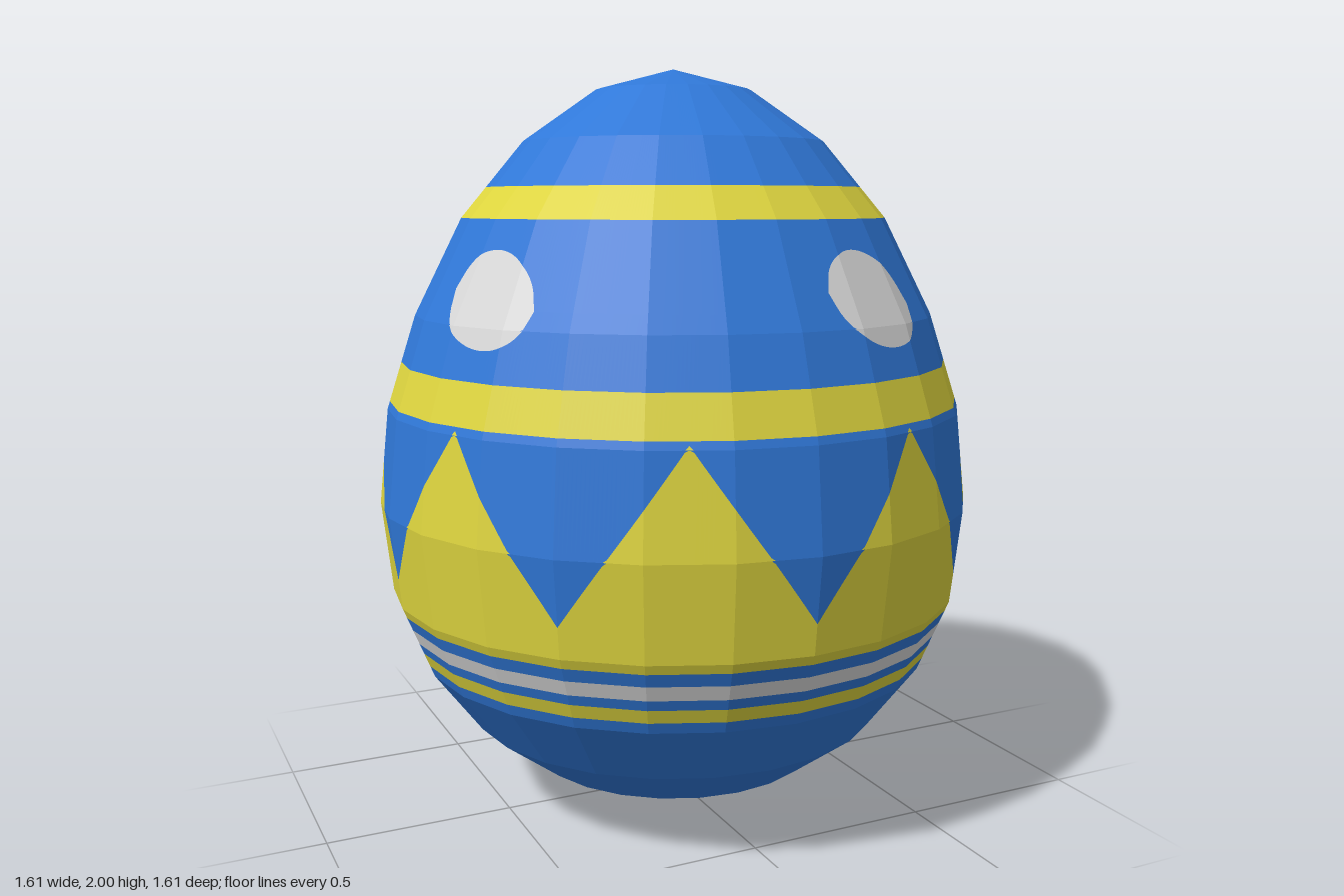
import * as THREE from 'three';

const SIDES = 24;   // flat facets around the egg
const COLS = 20;    // columns per facet, so the painted edges stay crisp
const STEP = 360 / SIDES / COLS;

// Egg profile, bottom to top: [radius, height]
const PROFILE = [
  [0, 0], [0.208, 0.03], [0.403, 0.113], [0.57, 0.24], [0.698, 0.41], [0.778, 0.605], [0.805, 0.85],
  [0.778, 1.105], [0.698, 1.355], [0.57, 1.61], [0.403, 1.81], [0.208, 1.945], [0, 2],
];

// Point on the faceted surface; ring = profile segment, col = column number
function surfacePoint(ring, col, facet, y) {
  const [r0, y0] = PROFILE[ring], [r1, y1] = PROFILE[ring + 1];
  const r = r0 + (r1 - r0) * (y - y0) / (y1 - y0);
  const a0 = facet * 2 * Math.PI / SIDES, a1 = (facet + 1) * 2 * Math.PI / SIDES;
  const t = col / COLS - facet;
  return new THREE.Vector3(
    r * THREE.MathUtils.lerp(Math.sin(a0), Math.sin(a1), t), y,
    r * THREE.MathUtils.lerp(Math.cos(a0), Math.cos(a1), t));
}

// Skin of the egg between two height curves lo(angle) and hi(angle)
function skin(lo, hi) {
  const pos = [];
  const tri = (a, b, c) => {
    const area = b.clone().sub(a).cross(c.clone().sub(a)).length();
    if (area > 1e-8) for (const p of [a, b, c]) pos.push(p.x, p.y, p.z);
  };
  for (let col = 0; col < SIDES * COLS; col++) {
    const facet = Math.floor(col / COLS);
    const u0 = col * STEP, u1 = u0 + STEP;
    for (let ring = 0; ring < PROFILE.length - 1; ring++) {
      const fit = (y) => THREE.MathUtils.clamp(y, PROFILE[ring][1], PROFILE[ring + 1][1]);
      const a = surfacePoint(ring, col, facet, fit(lo(u0)));
      const b = surfacePoint(ring, col + 1, facet, fit(lo(u1)));
      const c = surfacePoint(ring, col + 1, facet, fit(hi(u1)));
      const d = surfacePoint(ring, col, facet, fit(hi(u0)));
      tri(a, b, c);
      tri(a, c, d);
    }
  }
  const geo = new THREE.BufferGeometry();
  geo.setAttribute('position', new THREE.Float32BufferAttribute(pos, 3));
  geo.computeVertexNormals();
  return geo;
}

// Eight points round the egg: valleys every 45 degrees, peaks between
const zigzag = (u) => 0.685 + 0.43 * (1 - Math.abs((u % 45) / 22.5 - 1));

// Four oval spots, one per quarter; side is -1 for the lower edge, 1 for the upper
const spotEdge = (side) => (u) => {
  const d = THREE.MathUtils.clamp(((u % 90) - 22.5) / 13, -1, 1);
  return 1.42 - 0.02 * d + side * 0.115 * Math.sqrt(1 - d * d);
};

export function createModel() {
  const blue = new THREE.MeshStandardMaterial({ color: 0x3078d8 });
  const yellow = new THREE.MeshStandardMaterial({ color: 0xded53f });
  const white = new THREE.MeshStandardMaterial({ color: 0xd9d9d9 });
  blue.name = 'blue';
  yellow.name = 'yellow';
  white.name = 'white';

  // Painted layers, bottom to top: [name, material, upper edge]
  const layers = [
    ['base', blue, 0.44],
    ['lowerThinBand', yellow, 0.477],
    ['lowerGap', blue, 0.505],
    ['whiteBand', white, 0.545],
    ['upperGap', blue, 0.58],
    ['zigzagBand', yellow, zigzag],
    ['zigzagBackground', blue, 1.125],
    ['middleBand', yellow, 1.23],
    ['shoulderBelowSpots', blue, spotEdge(-1)],
    ['spots', white, spotEdge(1)],
    ['shoulderAboveSpots', blue, 1.61],
    ['topBand', yellow, 1.69],
    ['cap', blue, 2],
  ];

  const egg = new THREE.Group();
  egg.name = 'paintedEgg';
  let lo = () => 0;
  for (const [name, material, edge] of layers) {
    const hi = typeof edge === 'function' ? edge : () => edge;
    const mesh = new THREE.Mesh(skin(lo, hi), material);
    mesh.name = name;
    egg.add(mesh);
    lo = hi;
  }
  return egg;
}
